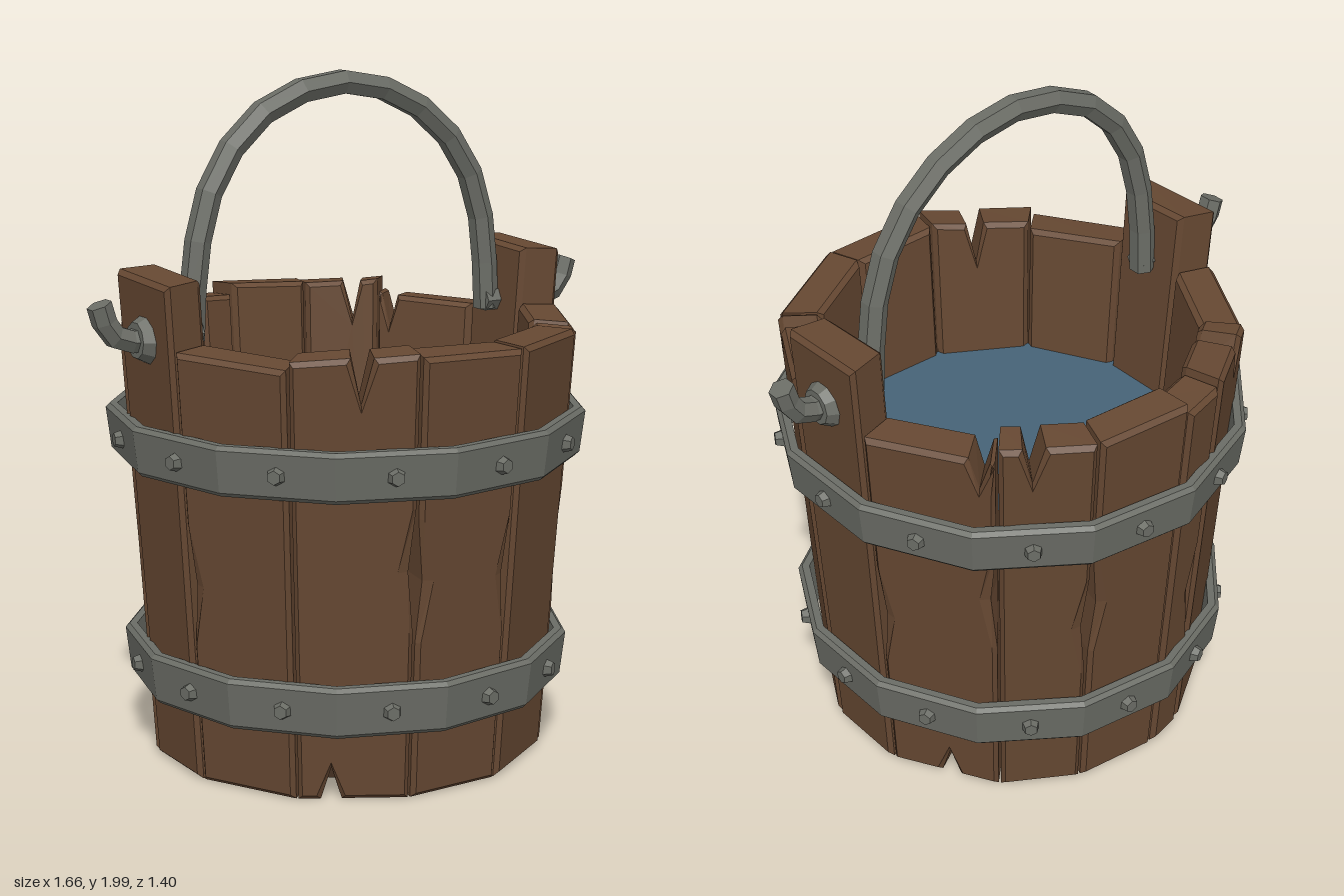
import * as THREE from 'three';

const rad = THREE.MathUtils.degToRad;
const SIDES = 13;

const mat = (name, color) => {
  const m = new THREE.MeshStandardMaterial({ color });
  m.name = name;
  return m;
};

// Faceted normals for the low-poly look
function flat(geo) {
  const g = geo.index ? geo.toNonIndexed() : geo;
  g.computeVertexNormals();
  return g;
}

function add(parent, name, geo, material) {
  const mesh = new THREE.Mesh(flat(geo), material);
  mesh.name = name;
  parent.add(mesh);
  return mesh;
}

// Outer corner radius of the bucket wall at height y
const wallRadius = (y) => 0.592 + 0.066 * y;

// One chamfered plank between two angles. notch: [position across, depth] cut in the top;
// chips: [side, height] gouged out of the outer edges; foot: position of a split at the bottom
function staveGeometry(half, height, skew, notch, chips, foot) {
  const w = (y) => wallRadius(y) * Math.sin(half) - 0.004;
  const topL = height - skew, topR = height + skew;
  const s = new THREE.Shape();
  s.moveTo(-w(0), 0.005);
  if (foot !== undefined) {
    const x = foot * w(0);
    s.lineTo(x - 0.03, 0.005);
    s.lineTo(x, 0.1);
    s.lineTo(x + 0.03, 0.005);
  }
  s.lineTo(w(0), 0.005);
  const edge = (side) => chips.filter((c) => c[0] === side).map((c) => c[1]);
  for (const y of edge(1)) {
    s.lineTo(w(y - 0.18), y - 0.18);
    s.lineTo(w(y) - 0.006, y);
    s.lineTo(w(y + 0.18), y + 0.18);
  }
  s.lineTo(w(topR), topR);
  if (notch) {
    const x = notch[0] * w(height);
    s.lineTo(x + 0.035, height);
    s.lineTo(x, height - notch[1]);
    s.lineTo(x - 0.03, height);
  }
  s.lineTo(-w(topL), topL);
  for (const y of edge(-1)) {
    s.lineTo(-w(y + 0.18), y + 0.18);
    s.lineTo(-w(y) + 0.006, y);
    s.lineTo(-w(y - 0.18), y - 0.18);
  }
  const b = 0.014, thick = 0.125;
  const geo = new THREE.ExtrudeGeometry(s, {
    depth: thick - 2 * b, bevelThickness: b, bevelSize: b, bevelOffset: -b, bevelSegments: 1,
  });
  geo.translate(0, 0, b - thick);
  const p = geo.attributes.position;
  for (let i = 0; i < p.count; i++) {
    let x = p.getX(i);
    const y = p.getY(i), z = p.getZ(i);
    for (const [side, cy] of chips) {
      if (x * side > 0 && Math.abs(y - cy) < 0.03 && z > -0.02) x -= side * (z > -0.005 ? 0.03 : 0.012);
    }
    p.setX(i, x * (1 + z / 0.66)); // narrows toward the inside
  }
  return geo;
}

// Closed hoop with chamfered outer edges
function hoopGeometry(y0, y1, r0, r1) {
  const t = 0.035, c = 0.012;
  const pts = [
    [r0 - t, y0], [r0 - c, y0], [r0, y0 + c], [r1, y1 - c], [r1 - c, y1], [r1 - t, y1], [r0 - t, y0],
  ].map(([x, y]) => new THREE.Vector2(x, y));
  return new THREE.LatheGeometry(pts, SIDES, Math.PI / 2 + Math.PI / SIDES, Math.PI * 2);
}

// Six-sided rod along points, with closed ends
function rod(parent, name, points, radius, segments, material) {
  const curve = new THREE.CatmullRomCurve3(points.map((q) => new THREE.Vector3(...q)));
  add(parent, name, new THREE.TubeGeometry(curve, segments, radius, 6), material);
  for (const t of [0, 1]) {
    const cap = add(parent, name + 'End', new THREE.CircleGeometry(radius, 6), material);
    const at = curve.getPoint(t);
    cap.position.copy(at);
    cap.lookAt(at.clone().addScaledVector(curve.getTangent(t), t ? 1 : -1));
  }
}

export function createModel() {
  const wood = mat('brown wood', 0x664832);
  const darkWood = mat('dark wood', 0x432f20);
  const iron = mat('grey iron', 0x6b6d66);
  const blue = mat('blue water', 0x466377);

  const model = new THREE.Group();
  model.name = 'bucket';

  // Wall staves: start angle, end angle, height, top skew, notch, chips, foot split
  const staves = [
    [-13, 13, 1.455, 0.006, null, []],
    [13, 44, 1.275, 0.006, [-0.75, 0.1], [[-1, 0.62]]],
    [44, 75.5, 1.275, -0.004, null, []],
    [75.5, 104.5, 1.28, -0.005, null, [[-1, 0.65], [1, 0.63]]],
    [104.5, 136, 1.285, 0.01, [0.1, 0.13], [[1, 0.68]], -0.4],
    [136, 167, 1.26, -0.008, null, [[-1, 0.6]]],
    [167, 193, 1.455, -0.006, null, []],
    [193, 222, 1.27, 0.008, null, [[1, 0.66]], 0.3],
    [222, 250, 1.29, -0.006, [0.35, 0.11], []],
    [250, 263, 1.27, 0.004, null, [[1, 0.55]]],
    [263, 289, 1.295, 0.006, null, [[-1, 0.7]]],
    [289, 313, 1.29, -0.006, [-0.3, 0.12], [[1, 0.62]]],
    [313, 347, 1.25, 0.006, [0.75, 0.1], [[1, 0.75], [-1, 0.6]], 0.1],
  ];
  const wall = new THREE.Group();
  wall.name = 'wall';
  model.add(wall);
  for (const [a0, a1, height, skew, notch, chips, foot] of staves) {
    const half = rad(a1 - a0) / 2, mid = rad(a0 + a1) / 2;
    const r = wallRadius(0) * Math.cos(half);
    const stave = add(wall, 'stave', staveGeometry(half, height, skew, notch, chips, foot), wood);
    stave.rotation.order = 'YXZ';
    stave.rotation.set(Math.atan(0.066), Math.PI / 2 - mid, 0);
    stave.position.set(Math.cos(mid) * r, 0, Math.sin(mid) * r);
  }

  // Floor and water
  add(model, 'floor', new THREE.CylinderGeometry(0.49, 0.49, 0.05, SIDES), darkWood).position.y = 0.06;
  const water = add(model, 'water', new THREE.CylinderGeometry(0.55, 0.55, 0.01, SIDES), blue);
  water.position.y = 0.845;

  // Iron hoops with a bolt on each side
  for (const [y0, y1, r0, r1] of [[0.21, 0.36, 0.645, 0.66], [0.89, 1.035, 0.69, 0.705]]) {
    const hoop = new THREE.Group();
    hoop.name = 'hoop';
    model.add(hoop);
    add(hoop, 'hoopBand', hoopGeometry(y0, y1, r0, r1), iron);
    const r = ((r0 + r1) / 2) * Math.cos(Math.PI / SIDES) + 0.008;
    for (let k = 0; k < SIDES; k++) {
      const a = (k / SIDES) * Math.PI * 2;
      const geo = new THREE.CylinderGeometry(0.02, 0.029, 0.03, 6);
      geo.rotateX(Math.PI / 2);
      const bolt = add(hoop, 'bolt', geo, iron);
      bolt.position.set(Math.cos(a) * r, (y0 + y1) / 2, Math.sin(a) * r);
      bolt.rotation.y = Math.PI / 2 - a;
    }
  }

  // Arched handle
  const z = -0.008;
  rod(model, 'handle', [
    [-0.51, 1.26, z], [-0.497, 1.46, z], [-0.46, 1.64, z], [-0.4, 1.76, z], [-0.31, 1.86, z],
    [-0.2, 1.925, z], [-0.03, 1.963, z], [0.13, 1.94, z], [0.25, 1.885, z], [0.36, 1.795, z],
    [0.44, 1.68, z], [0.49, 1.52, z], [0.51, 1.26, z],
  ], 0.038, 14, iron);

  // Handle pins passing through the tall staves, hooked upward outside
  for (const s of [1, -1]) {
    rod(model, 'handleHook', [
      [s * 0.49, 1.285, 0], [s * 0.62, 1.285, 0], [s * 0.71, 1.28, 0], [s * 0.77, 1.31, 0], [s * 0.8, 1.39, 0],
    ], 0.036, 7, iron);
    const geo = new THREE.CylinderGeometry(0.052, 0.074, 0.04, 10);
    geo.rotateZ(-s * Math.PI / 2);
    add(model, 'washer', geo, iron).position.set(s * 0.672, 1.28, 0);
  }
  return model;
}
